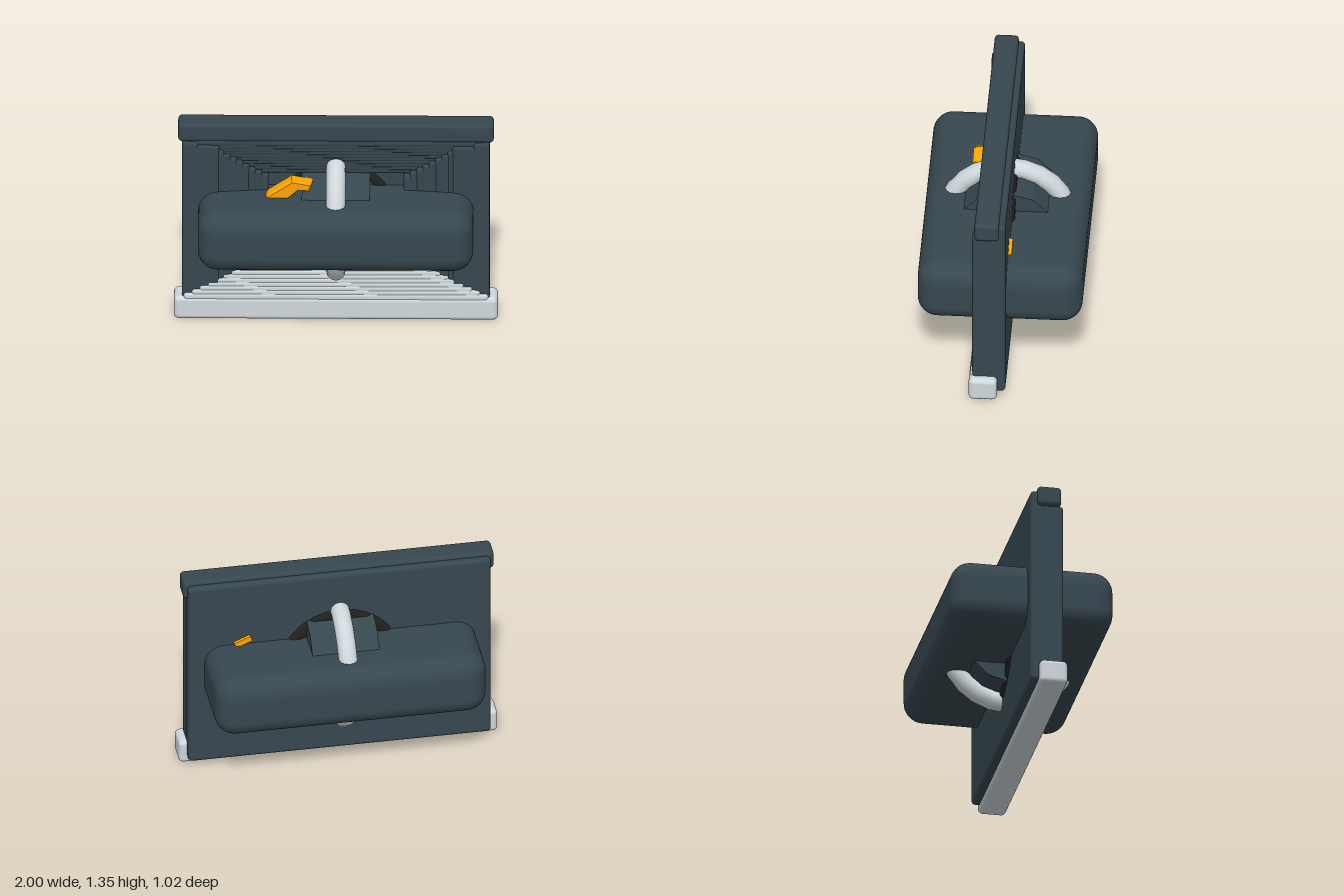
import * as THREE from 'three';
import { RoundedBoxGeometry } from 'three/addons/geometries/RoundedBoxGeometry.js';

const material = (color) => new THREE.MeshStandardMaterial({ color });

export function createModel() {
  const model = new THREE.Group();
  const dark = material(0x37474f);
  const light = material(0xcfd8dc);
  const black = material(0x212121);
  const amber = material(0xffa500);
  const CY = 0.68; // height of the central axis

  const add = (name, geometry, mat) => {
    const mesh = new THREE.Mesh(geometry, mat);
    mesh.name = name;
    model.add(mesh);
    return mesh;
  };

  // Rounded box given by its limits on each axis
  const bar = (name, mat, [x0, x1], [y0, y1], [z0, z1], radius = 0.018, segments = 3) => {
    const geometry = new RoundedBoxGeometry(x1 - x0, y1 - y0, z1 - z0, segments, radius);
    const mesh = add(name, geometry, mat);
    mesh.position.set((x0 + x1) / 2, (y0 + y1) / 2, (z0 + z1) / 2);
    return mesh;
  };

  // Upright back panel
  bar('backPanel', dark, [-0.95, 0.95], [0.035, 1.32], [-0.045, 0.05], 0.025);

  // Outer rails
  bar('topRail', dark, [-0.975, 0.975], [1.22, 1.345], [-0.005, 0.145], 0.025);
  bar('bottomRail', light, [-1, 1], [0, 0.155], [0.005, 0.18], 0.03);

  // Top and bottom steps, narrowing and receding toward the centre
  for (let i = 0; i < 10; i++) {
    const half = i < 2 ? 0.92 - i * 0.03 : 0.77 - (i - 2) * 0.043;
    const y = 1.19 - i * 0.0225;
    bar('topStep', dark, [-half, half], [y, y + 0.045], [0.02, 0.145 - i * 0.004]);
  }
  for (let i = 0; i < 9; i++) {
    const half = 0.94 - i * 0.048;
    const y = 0.18 + i * 0.025;
    bar('bottomStep', light, [-half, half], [y - 0.05, y], [0.02, 0.174 - i * 0.005]);
  }

  // Side posts and steps, mirrored
  for (const side of [-1, 1]) {
    const post = (name, inner, outer, ys, front) =>
      bar(name, dark, side < 0 ? [-outer, -inner] : [inner, outer], ys, [0.02, front]);
    post('sidePost', 0.85, 0.95, [0.13, 1.225], 0.16);
    post('innerPost', 0.72, 0.88, [0.17, 1.2], 0.157);
    for (let i = 0; i < 8; i++) {
      const inner = 0.69 - i * 0.039;
      post('sideStep', inner, inner + 0.07, [0.2 + i * 0.025, 1.165 - i * 0.026], 0.15 - i * 0.004);
    }
  }

  // Wide rounded block passing through the panel
  bar('crossBlock', dark, [-0.85, 0.85], [0.475, 0.88], [-0.51, 0.51], 0.125, 6);

  // Twelve-sided hub lying along x
  const hubGeometry = new THREE.CylinderGeometry(0.336, 0.336, 0.42, 12);
  hubGeometry.rotateZ(Math.PI / 2);
  const hubMaterial = dark.clone();
  hubMaterial.flatShading = true;
  add('hub', hubGeometry, hubMaterial).position.y = CY;

  // Pale ring standing across the hub
  const ring = add('crossRing', new THREE.TorusGeometry(0.38, 0.06, 12, 24), light);
  ring.rotation.y = Math.PI / 2;
  ring.position.y = CY;

  // Dark collar set in the panel
  add('collar', new THREE.TorusGeometry(0.34, 0.064, 10, 28), black).position.y = CY;

  // Bent amber hook on the front
  const hook = new THREE.Shape([
    [-0.44, 0.85], [-0.41, 0.89], [-0.27, 0.985], [-0.16, 0.965],
    [-0.17, 0.93], [-0.235, 0.935], [-0.33, 0.85],
  ].map(([x, y]) => new THREE.Vector2(x, y)));
  const hookGeometry = new THREE.ExtrudeGeometry(hook, {
    depth: 0.06, bevelEnabled: true, bevelSize: 0.012, bevelThickness: 0.02, bevelSegments: 1,
  });
  const hookMaterial = amber.clone();
  hookMaterial.flatShading = true;
  add('frontHook', hookGeometry, hookMaterial).position.z = 0.15;

  // Tip of the amber piece showing through the back
  const tip = add('backTip', new THREE.BoxGeometry(0.11, 0.035, 0.06), amber);
  tip.position.set(0.61, 0.905, -0.038);
  tip.rotation.z = -0.4;

  return model;
}
